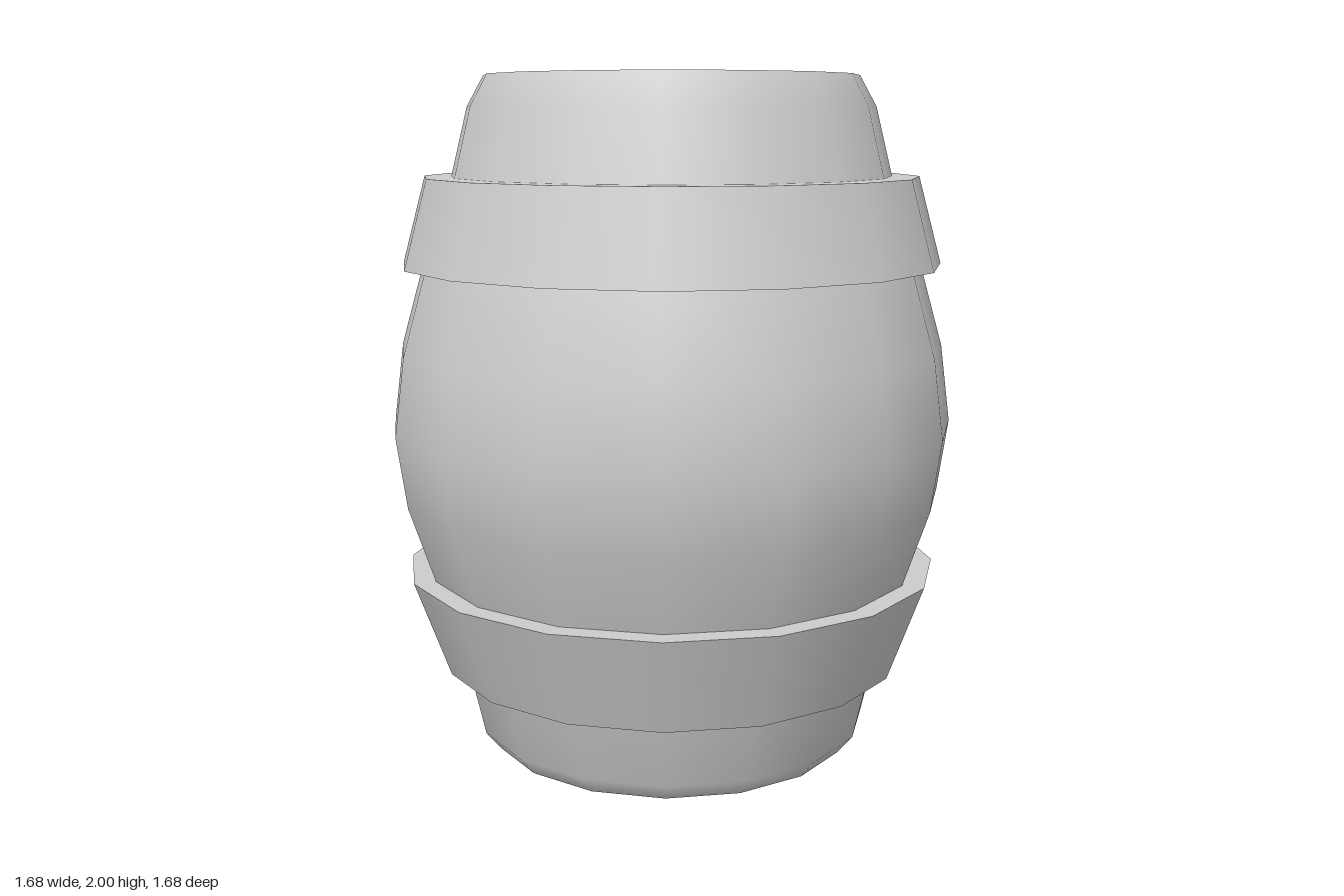
import * as THREE from 'three';

const SIDES = 16;
const grey = new THREE.MeshStandardMaterial({ color: 0xcccccc });
grey.name = 'grey';

// One revolved surface, smooth along its own profile
function surface(name, profile) {
  const points = profile.map(([r, y]) => new THREE.Vector2(r, y));
  const mesh = new THREE.Mesh(new THREE.LatheGeometry(points, SIDES), grey);
  mesh.name = name;
  return mesh;
}

// Conical hoop: outer face plus flat ledges back to the staves, with sharp edges
function hoop(name, [rBottom, yBottom], [rTop, yTop], innerBottom, innerTop) {
  const group = new THREE.Group();
  group.name = name;
  group.add(
    surface(name + 'Underside', [[innerBottom, yBottom], [rBottom, yBottom]]),
    surface(name + 'Face', [[rBottom, yBottom], [rTop, yTop]]),
    surface(name + 'Ledge', [[rTop, yTop], [innerTop, yTop]]),
  );
  return group;
}

export function createModel() {
  const barrel = new THREE.Group();
  barrel.name = 'barrel';

  // Bulging body
  barrel.add(surface('body', [
    [0.55, 0], [0.595, 0.055], [0.64, 0.255], [0.735, 0.545], [0.81, 0.77],
    [0.84, 0.98], [0.81, 1.21], [0.74, 1.455], [0.65, 1.71], [0.6, 1.91], [0.55, 2],
  ]));

  // Bottom, and the recessed lid inside the rim
  barrel.add(
    surface('bottom', [[0, 0], [0.55, 0]]),
    surface('rim', [[0.55, 2], [0.49, 2]]),
    surface('rimInside', [[0.49, 2], [0.465, 1.88]]),
    surface('lid', [[0.465, 1.88], [0, 1.88]]),
  );

  // Two hoops, both widening toward the middle
  barrel.add(
    hoop('lowerHoop', [0.695, 0.255], [0.8, 0.545], 0.63, 0.73),
    hoop('upperHoop', [0.8, 1.455], [0.73, 1.71], 0.73, 0.64),
  );
  return barrel;
}
